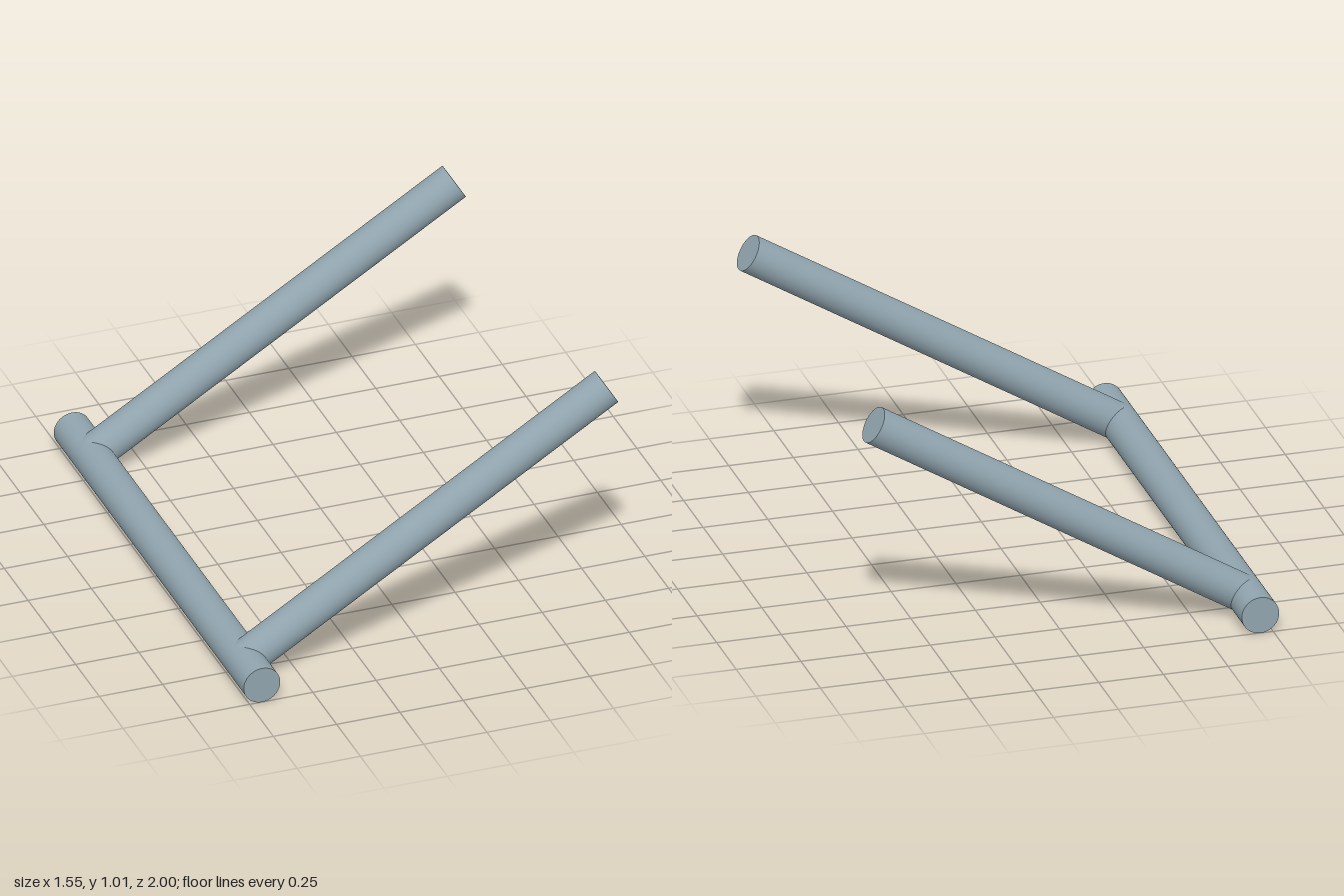
import * as THREE from 'three';

const RADIUS = 0.072;

export function createModel() {
  const model = new THREE.Group();
  model.name = 'tubeFrame';

  const steel = new THREE.MeshStandardMaterial({ color: 0x90a4ae });
  steel.name = 'blue grey steel';

  // Solid round bar between two points
  function bar(name, from, to) {
    const axis = to.clone().sub(from);
    const length = axis.length();
    const mesh = new THREE.Mesh(new THREE.CylinderGeometry(RADIUS, RADIUS, length, 64), steel);
    mesh.name = name;
    mesh.position.copy(from).addScaledVector(axis, 0.5);
    mesh.quaternion.setFromUnitVectors(new THREE.Vector3(0, 1, 0), axis.divideScalar(length));
    model.add(mesh);
  }

  // Crossbar lying on the ground along z
  const baseX = -0.701;
  bar('crossbar', new THREE.Vector3(baseX, RADIUS, -1), new THREE.Vector3(baseX, RADIUS, 1));

  // Two parallel arms rising from the crossbar's axis
  for (const [name, z] of [['frontArm', 0.802], ['backArm', -0.802]]) {
    bar(name, new THREE.Vector3(baseX, RADIUS, z), new THREE.Vector3(0.735, 0.949, z));
  }

  return model;
}
